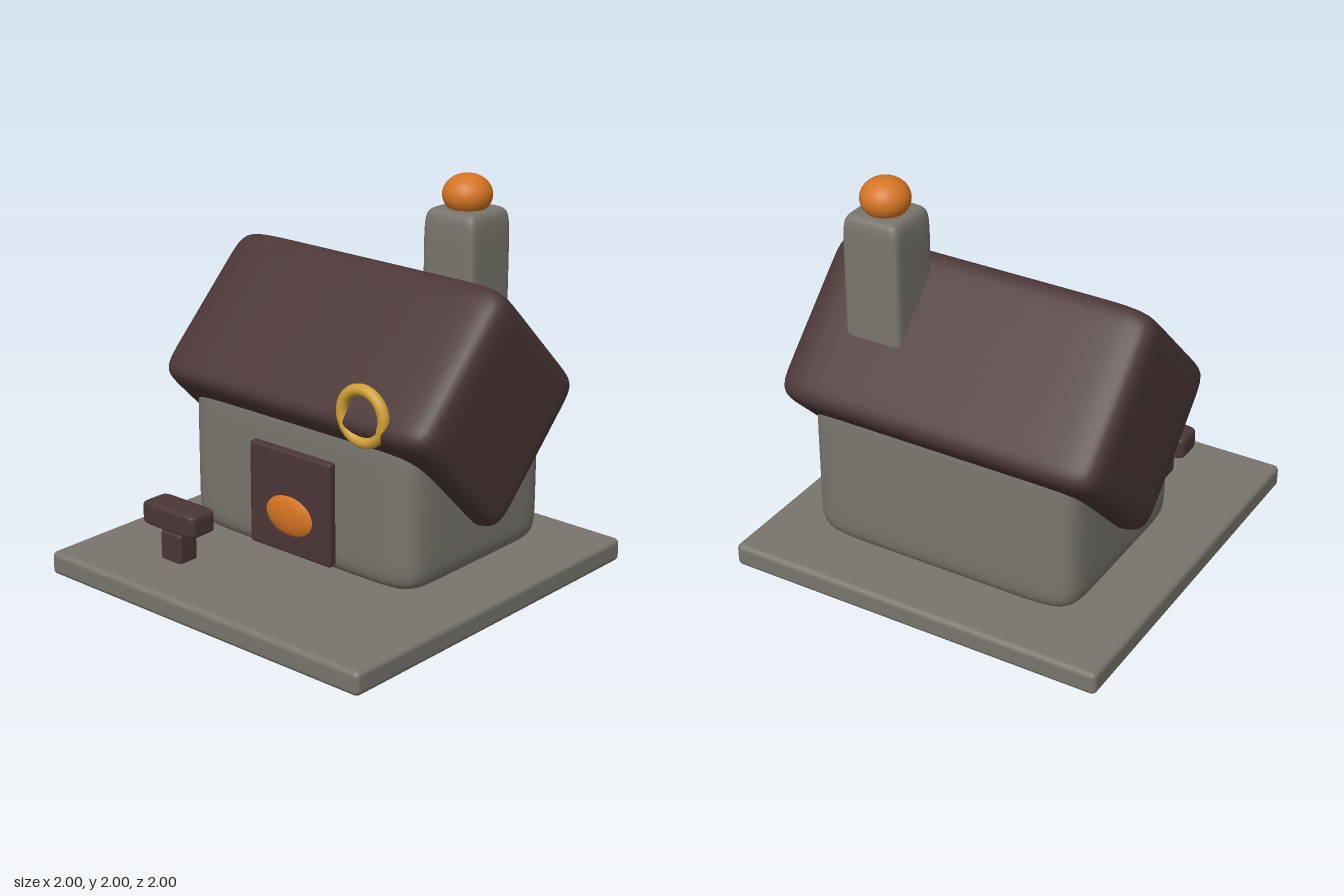
import * as THREE from 'three';
import { RoundedBoxGeometry } from 'three/addons/geometries/RoundedBoxGeometry.js';

// Softly bulging block: a cube pushed onto a superellipsoid of power n
function softBlock(hx, hy, hz, n) {
  const geo = new THREE.BoxGeometry(2, 2, 2, 20, 20, 20);
  const pos = geo.attributes.position, nor = geo.attributes.normal;
  const h = [hx, hy, hz], v = new THREE.Vector3();
  for (let i = 0; i < pos.count; i++) {
    // sine spacing gathers the grid near the rounded edges
    const p = [pos.getX(i), pos.getY(i), pos.getZ(i)].map((c) => Math.sin(c * Math.PI / 2));
    const len = Math.pow(p.reduce((s, c) => s + Math.pow(Math.abs(c), n), 0), 1 / n);
    const q = p.map((c) => c / len);
    pos.setXYZ(i, q[0] * hx, q[1] * hy, q[2] * hz);
    v.fromArray(q.map((c, k) => Math.sign(c) * Math.pow(Math.abs(c), n - 1) / h[k])).normalize();
    nor.setXYZ(i, v.x, v.y, v.z);
  }
  return geo;
}

function ellipsoid(rx, ry, rz) {
  return new THREE.SphereGeometry(1, 40, 24).scale(rx, ry, rz);
}

function material(name, color) {
  const m = new THREE.MeshStandardMaterial({ color });
  m.name = name;
  return m;
}

export function createModel() {
  const model = new THREE.Group();
  model.name = 'cottage';
  const stone = material('grey stone', 0x79756d);
  const wood = material('dark brown wood', 0x4b3636);
  const orange = material('orange glow', 0xd47422);
  const gold = material('gold', 0xd0a036);

  const add = (name, geo, mat, x, y, z) => {
    const mesh = new THREE.Mesh(geo, mat);
    mesh.name = name;
    mesh.position.set(x, y, z);
    model.add(mesh);
    return mesh;
  };

  // Ground slab and house body
  add('groundSlab', new RoundedBoxGeometry(2, 0.12, 2, 4, 0.028), stone, 0, 0.063, 0);
  add('walls', softBlock(0.728, 0.40, 0.522, 10), stone, 0, 0.53, -0.21);

  // Roof: a square block turned onto its edge
  const roof = add('roof', softBlock(0.857, 0.446, 0.446, 12), wood, 0, 0.953, -0.21);
  roof.rotation.x = Math.PI / 4;

  // Chimney with a ball on top
  add('chimney', softBlock(0.153, 0.44, 0.153, 10), stone, 0.44, 1.4, -0.42);
  add('chimneyBall', ellipsoid(0.12, 0.1, 0.12), orange, 0.44, 1.9, -0.42);

  // Door with an oval lamp
  add('door', new RoundedBoxGeometry(0.52, 0.525, 0.052, 3, 0.014), wood, 0, 0.448, 0.328);
  add('doorLamp', ellipsoid(0.17, 0.115, 0.05), orange, 0, 0.385, 0.33);

  // Ring hanging on the front eave
  add('ring', new THREE.TorusGeometry(0.126, 0.029, 14, 48), gold, 0.47, 1.008, 0.36);

  // Signpost
  add('signPost', softBlock(0.07, 0.085, 0.06, 8), wood, -0.475, 0.19, 0.633);
  add('signBoard', softBlock(0.178, 0.06, 0.082, 8), wood, -0.475, 0.341, 0.632);

  return model;
}
